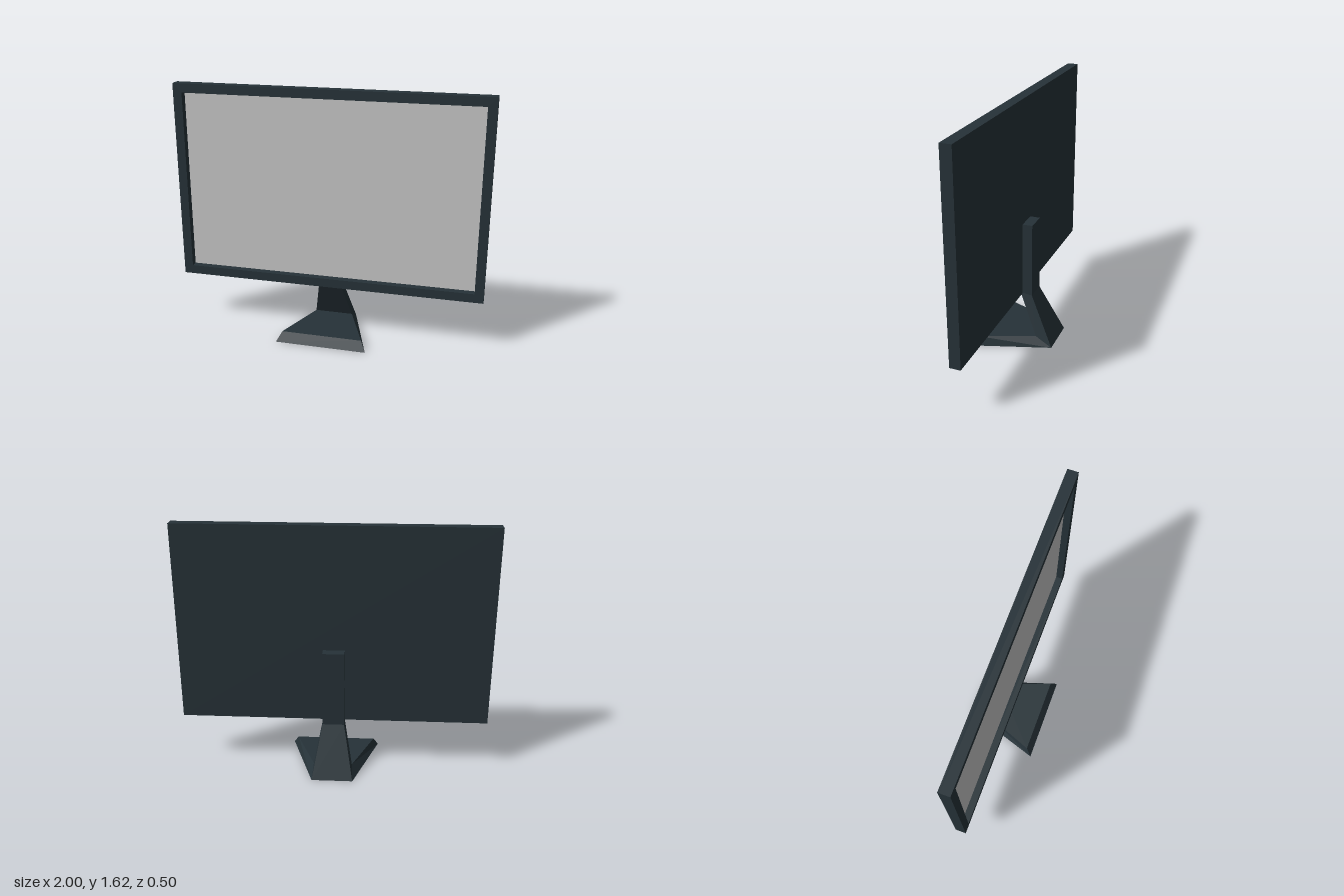
import * as THREE from 'three';

const casing = new THREE.MeshStandardMaterial({ color: 0x263238, flatShading: true });
casing.name = 'dark slate casing';
const display = new THREE.MeshStandardMaterial({ color: 0xc8c8c8 });
display.name = 'grey display';

function part(name, geometry, material, x = 0, y = 0, z = 0) {
  const mesh = new THREE.Mesh(geometry, material);
  mesh.name = name;
  mesh.position.set(x, y, z);
  return mesh;
}

// Folded stand: four-cornered sections joined in sequence.
// Each section has an outer and an inner edge given as [half width, y, z].
function standGeometry() {
  const sections = [
    { outer: [0.295, 0, 0.25], inner: [0.262, 0.06, 0.21] },      // front lip of foot
    { outer: [0.132, 0, -0.25], inner: [0.125, 0.06, -0.14] },    // elbow
    { outer: [0.07, 0.325, -0.09], inner: [0.07, 0.335, -0.012] }, // neck top
    { outer: [0.07, 0.82, -0.09], inner: [0.07, 0.82, -0.022] },  // top of rear post
  ].map(({ outer: [ow, oy, oz], inner: [iw, iy, iz] }) => [
    [ow, oy, oz], [-ow, oy, oz], [-iw, iy, iz], [iw, iy, iz],
  ]);
  const positions = [];
  const quad = (a, b, c, d) => positions.push(...a, ...b, ...c, ...a, ...c, ...d);
  for (let i = 0; i < sections.length - 1; i++) {
    const s = sections[i], t = sections[i + 1];
    for (let j = 0; j < 4; j++) {
      const k = (j + 1) % 4;
      quad(s[j], s[k], t[k], t[j]);
    }
  }
  const first = sections[0], last = sections[sections.length - 1];
  quad(first[1], first[0], first[3], first[2]);
  quad(last[0], last[1], last[2], last[3]);
  const geometry = new THREE.BufferGeometry();
  geometry.setAttribute('position', new THREE.Float32BufferAttribute(positions, 3));
  geometry.computeVertexNormals();
  return geometry;
}

// Rectangle outline for the bezel and its opening
function rectangle(Type, halfWidth, bottom, top) {
  return new Type([
    new THREE.Vector2(-halfWidth, bottom), new THREE.Vector2(halfWidth, bottom),
    new THREE.Vector2(halfWidth, top), new THREE.Vector2(-halfWidth, top),
  ]);
}

export function createModel() {
  const model = new THREE.Group();
  model.name = 'monitor';

  // Bezel with a recessed opening
  const outline = rectangle(THREE.Shape, 1, 0.33, 1.62);
  outline.holes.push(rectangle(THREE.Path, 0.942, 0.388, 1.562));
  const bezel = new THREE.ExtrudeGeometry(outline, { depth: 0.06, bevelEnabled: false });
  model.add(part('bezel', bezel, casing, 0, 0, -0.015));

  // Back cover closes the housing
  model.add(part('backCover', new THREE.BoxGeometry(2, 1.29, 0.01), casing, 0, 0.975, -0.02));

  // Screen set back inside the bezel
  model.add(part('screen', new THREE.PlaneGeometry(1.884, 1.174), display, 0, 0.975, 0));

  model.add(part('stand', standGeometry(), casing));
  return model;
}
